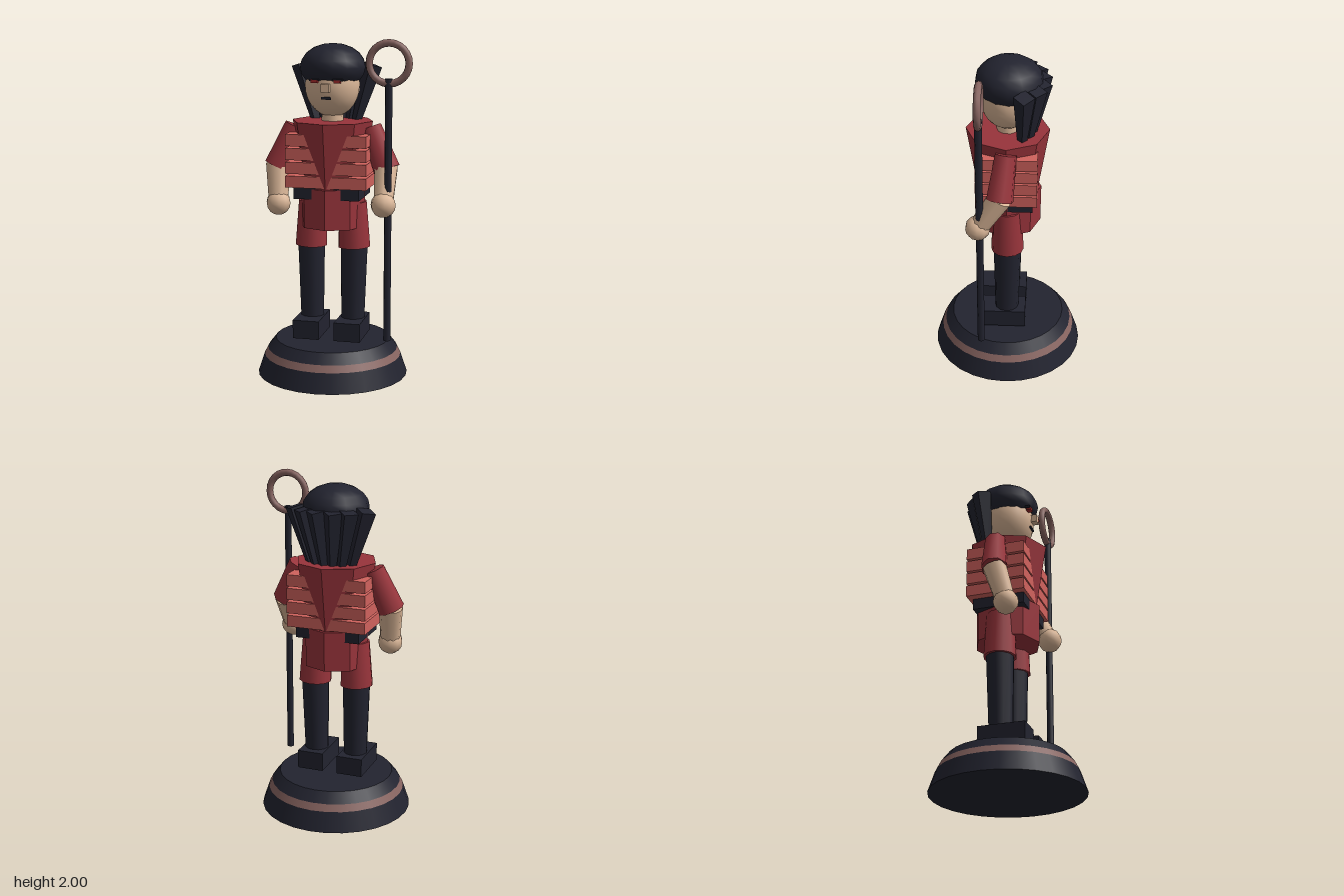
import * as THREE from 'three';

export function createModel() {
  const model = new THREE.Group();
  model.name = 'figurine';
  // everything is built symmetrically, then shifted so the staff fits the frame
  const body = new THREE.Group();
  body.name = 'body';
  body.position.x = -0.027;
  model.add(body);

  const mat = (name, color, flat = false) => {
    const m = new THREE.MeshStandardMaterial({ color });
    m.name = name;
    m.flatShading = flat;
    return m;
  };
  const navy = mat('navy', 0x22232f);
  const red = mat('red cloth', 0x98343b);
  const salmon = mat('salmon armour', 0xd0625d);
  const skin = mat('skin', 0xdab697);
  const bronze = mat('bronze', 0x876460);
  const eyeRed = mat('eye red', 0xa02a2a);

  const add = (name, geo, material, x = 0, y = 0, z = 0) => {
    const m = new THREE.Mesh(geo, material);
    m.name = name;
    m.position.set(x, y, z);
    body.add(m);
    return m;
  };
  const box = (name, w, h, d, material, x, y, z) =>
    add(name, new THREE.BoxGeometry(w, h, d), material, x, y, z);
  // tapered cylinder between two points
  const limb = (name, a, b, ra, rb, sides, material) => {
    const p = new THREE.Vector3(...a), q = new THREE.Vector3(...b);
    const dir = q.clone().sub(p);
    const m = add(name, new THREE.CylinderGeometry(rb, ra, dir.length(), sides), material);
    m.position.copy(p).add(q).multiplyScalar(0.5);
    m.quaternion.setFromUnitVectors(new THREE.Vector3(0, 1, 0), dir.normalize());
    return m;
  };
  // faceted solid with hard edges
  const faceted = (rTop, rBottom, h, sides) => {
    const g = new THREE.CylinderGeometry(rTop, rBottom, h, sides).toNonIndexed();
    g.computeVertexNormals();
    return g;
  };

  // stepped round base
  const tier = (name, r0, r1, y0, y1, material) =>
    add(name, new THREE.CylinderGeometry(r1, r0, y1 - y0, 28), material, 0, (y0 + y1) / 2, 0);
  tier('baseLower', 0.447, 0.408, 0, 0.115, navy);
  tier('baseBand', 0.408, 0.388, 0.115, 0.155, bronze);
  tier('baseTop', 0.388, 0.34, 0.155, 0.215, navy);

  // legs
  for (const s of [-1, 1]) {
    box('boot', 0.157, 0.11, 0.28, navy, s * 0.124, 0.29, 0.027);
    limb('leg', [s * 0.124, 0.34, 0], [s * 0.13, 0.8, -0.004], 0.07, 0.082, 12, navy);
    limb('shortsLeg', [s * 0.131, 0.775, -0.004], [s * 0.122, 1.045, -0.002], 0.096, 0.083, 12, red);
  }

  // torso
  add('hips', faceted(0.196, 0.193, 0.235, 8), red, 0, 1.017, 0);
  box('belt', 0.386, 0.065, 0.31, navy, 0, 1.107, 0.005);
  add('tunic', faceted(0.24, 0.177, 0.39, 8), red, 0, 1.325, 0);
  for (let i = 0; i < 4; i++) {
    box('armourPlate', 0.478, 0.068, 0.352, salmon, 0, 1.176 + i * 0.0805, 0);
  }

  // arms: right hangs, left reaches forward to the staff
  for (const [s, hand] of [[-1, [-0.305, 1.035, 0.09]], [1, [0.335, 1.06, 0.155]]]) {
    const elbow = [s * 0.33, 1.246, 0.03];
    limb('upperArm', [s * 0.228, 1.485, 0], elbow, 0.062, 0.078, 8, red);
    limb('forearm', [s * 0.325, 1.26, 0.028], hand, 0.07, 0.057, 10, skin);
    add('hand', new THREE.SphereGeometry(0.073, 10, 8), skin, ...hand);
  }

  // staff with ring
  limb('staff', [0.36, 0.255, 0.143], [0.36, 1.78, 0.143], 0.021, 0.021, 8, navy);
  add('staffRing', new THREE.TorusGeometry(0.114, 0.021, 8, 24), bronze, 0.36, 1.865, 0.14);

  // head
  add('neck', new THREE.CylinderGeometry(0.06, 0.066, 0.12, 10), skin, 0, 1.54, 0);
  add('head', new THREE.SphereGeometry(0.16, 18, 14), skin, 0, 1.727, 0).scale.y = 1.17;
  add('hairCap', new THREE.SphereGeometry(0.193, 14, 10), navy, 0, 1.83, -0.008).scale.y = 0.7;
  box('nose', 0.046, 0.048, 0.045, skin, 0, 1.721, 0.167);
  box('mouth', 0.056, 0.014, 0.009, navy, 0, 1.661, 0.152);
  for (const s of [-1, 1]) {
    box('eyeLine', 0.056, 0.012, 0.03, navy, s * 0.068, 1.766, 0.156);
    box('eye', 0.038, 0.018, 0.03, eyeRed, s * 0.066, 1.758, 0.158);
  }

  // fan of square locks behind the head: bottom x, bottom z, top x, top z
  for (const s of [-1, 1]) {
    for (const [bx, bz, tx, tz] of [
      [0.025, -0.135, 0.05, -0.19],
      [0.075, -0.12, 0.134, -0.163],
      [0.12, -0.085, 0.214, -0.098],
    ]) {
      const m = limb('hairLock', [s * bx, 1.5, bz], [s * tx, 1.838, tz], 0.027, 0.06, 4, navy);
      m.geometry = m.geometry.toNonIndexed();
      m.geometry.computeVertexNormals();
    }
  }
  return model;
}
